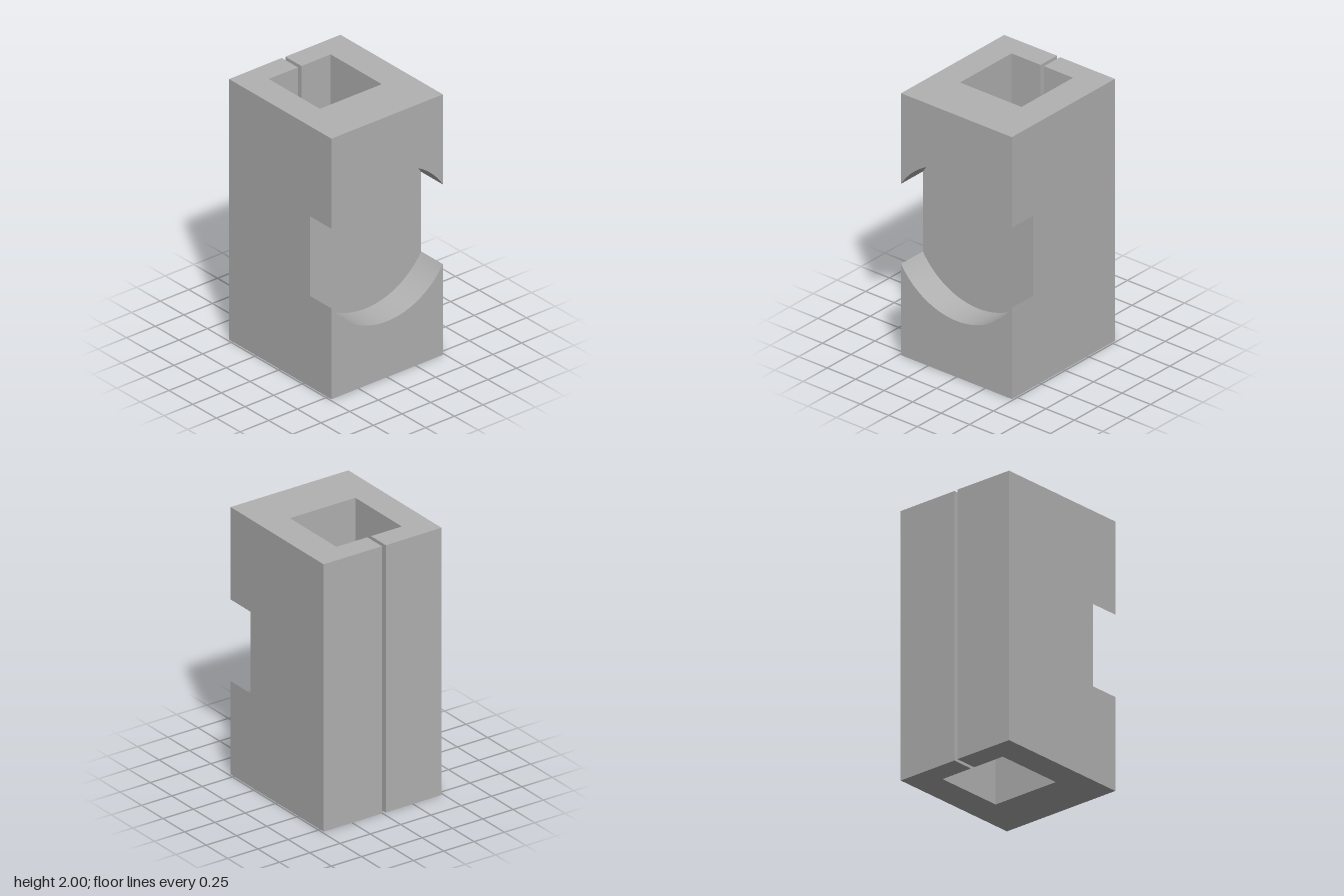
import * as THREE from 'three';
import { mergeGeometries } from 'three/addons/utils/BufferGeometryUtils.js';

const H = 2, W = 0.486;                    // height, half width
const FRONT = 0.541, BACK = -0.539;        // outer faces in z
const FLOOR = 0.312, CY = 1.003, R = 0.574; // round pocket in the front
const HALF = Math.asin(W / R), SEG = 40;   // pocket arc, cut off by the sides

// Plan of the slotted tube as [x, z], from front left round the back to front right
const plan = [
  [W, FRONT], [W, BACK], [0.005, BACK], [0.005, -0.37], [0.26, -0.37], [0.26, 0.17],
  [-0.28, 0.17], [-0.28, -0.37], [-0.025, -0.37], [-0.025, -0.542], [-W, BACK], [-W, FRONT],
];

const face = (pts) => new THREE.ShapeGeometry(
  new THREE.Shape(pts.map(([x, y]) => new THREE.Vector2(x, y))));

// Points of the pocket arc from -x to +x; s = 1 upper, -1 lower
const arc = (s) => Array.from({ length: SEG + 1 }, (_, i) => {
  const t = HALF * (2 * i / SEG - 1);
  return [R * Math.sin(t), CY + s * R * Math.cos(t)];
});

// Full-height wall between two plan points
function wall([x0, z0], [x1, z1]) {
  return new THREE.PlaneGeometry(Math.hypot(x1 - x0, z1 - z0), H)
    .rotateY(Math.atan2(z0 - z1, x1 - x0))
    .translate((x0 + x1) / 2, H / 2, (z0 + z1) / 2);
}

// Curved pocket wall, turned to face the pocket's axis
function pocketWall(s) {
  const g = new THREE.CylinderGeometry(R, R, FRONT - FLOOR, SEG, 1, true,
    (s > 0 ? Math.PI : 0) - HALF, 2 * HALF);
  g.rotateX(Math.PI / 2).scale(-1, 1, 1).translate(0, CY, (FRONT + FLOOR) / 2);
  g.computeVertexNormals();
  return g;
}

export function createModel() {
  const group = new THREE.Group();
  group.name = 'slottedBlock';
  const grey = new THREE.MeshStandardMaterial({ color: 0xb2b2b2 });
  grey.name = 'grey';
  const add = (name, parts) => {
    const mesh = new THREE.Mesh(mergeGeometries(parts), grey);
    mesh.name = name;
    group.add(mesh);
  };

  // Back, slot and square bore
  const walls = [];
  for (let i = 1; i < plan.length - 2; i++) walls.push(wall(plan[i], plan[i + 1]));
  add('backAndBoreWalls', walls);

  // Top and bottom
  add('endFaces', [
    face(plan.map(([x, z]) => [x, -z])).rotateX(-Math.PI / 2).translate(0, H, 0),
    face(plan).rotateX(Math.PI / 2),
  ]);

  // Sides, notched where the pocket runs out
  const n = R * Math.cos(HALF);
  const side = [[BACK, 0], [FRONT, 0], [FRONT, CY - n], [FLOOR, CY - n],
    [FLOOR, CY + n], [FRONT, CY + n], [FRONT, H], [BACK, H]];
  add('sideFaces', [
    face(side.map(([z, y]) => [-z, y])).rotateY(Math.PI / 2).translate(W, 0, 0),
    face(side).rotateY(-Math.PI / 2).translate(-W, 0, 0),
  ]);

  // Front above and below the pocket
  add('frontFaces', [
    face([...arc(1), [W, H], [-W, H]]).translate(0, 0, FRONT),
    face([...arc(-1), [W, 0], [-W, 0]]).translate(0, 0, FRONT),
  ]);

  // Pocket
  add('pocketFloor', [face([...arc(-1), ...arc(1).reverse()]).translate(0, 0, FLOOR)]);
  add('pocketWalls', [pocketWall(1), pocketWall(-1)]);
  return group;
}
